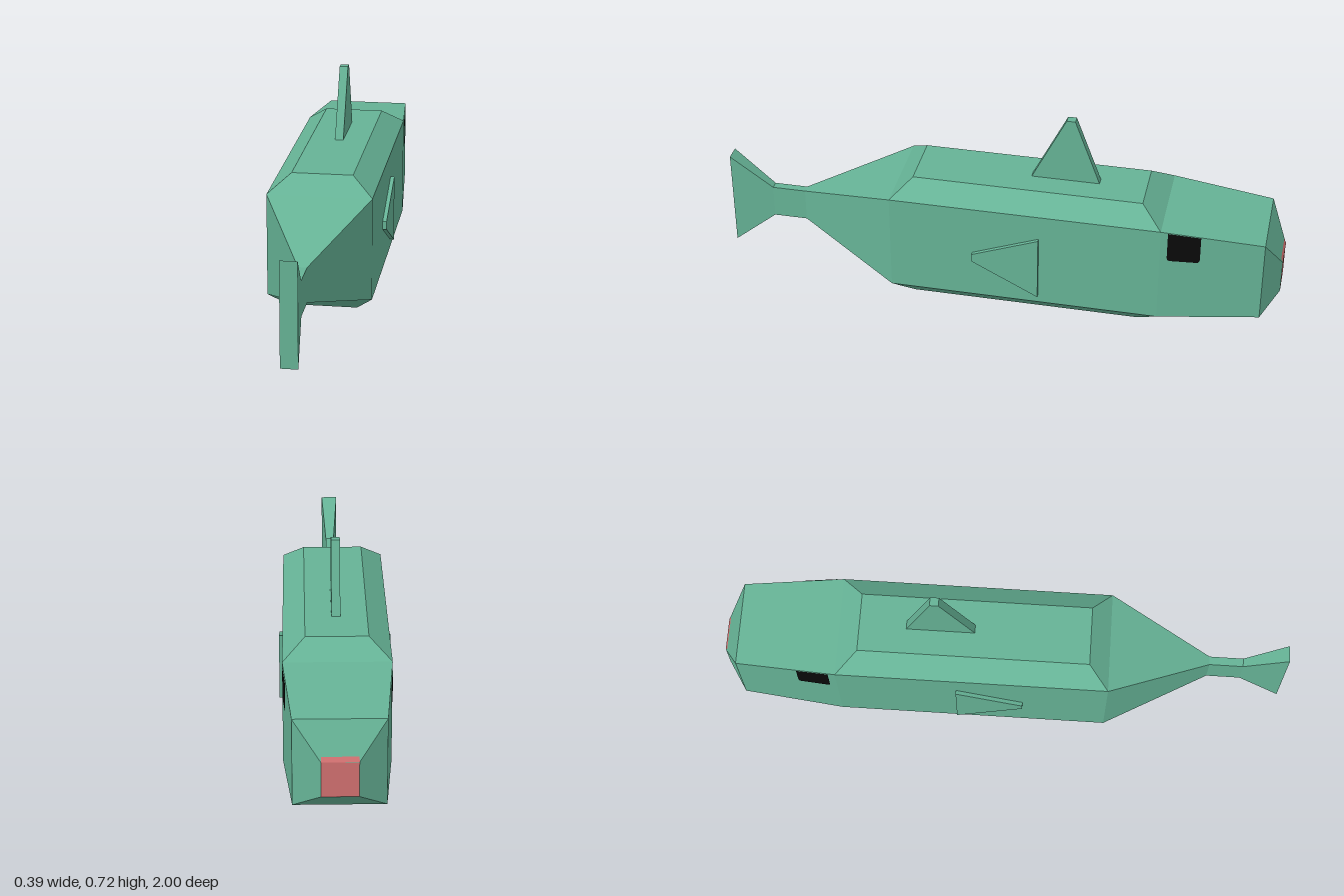
import * as THREE from 'three';

const skin = new THREE.MeshStandardMaterial({ color: 0x66b396, flatShading: true });
skin.name = 'sea green';
const black = new THREE.MeshStandardMaterial({ color: 0x0a0a0a, side: THREE.DoubleSide });
black.name = 'eye black';
const red = new THREE.MeshStandardMaterial({ color: 0xd47272, side: THREE.DoubleSide });
red.name = 'mouth red';

// Flat-faced loft through four-cornered rings, counterclockwise seen from the last ring
function loft(rings, capStart = true, capEnd = true) {
  const pos = [];
  const quad = (a, b, c, d) => pos.push(...a, ...b, ...c, ...a, ...c, ...d);
  for (let r = 0; r < rings.length - 1; r++) {
    const a = rings[r], b = rings[r + 1];
    for (let i = 0; i < 4; i++) quad(a[i], a[(i + 1) % 4], b[(i + 1) % 4], b[i]);
  }
  if (capStart) quad(...[...rings[0]].reverse());
  if (capEnd) quad(...rings[rings.length - 1]);
  const g = new THREE.BufferGeometry();
  g.setAttribute('position', new THREE.Float32BufferAttribute(pos, 3));
  g.computeVertexNormals();
  return g;
}

// Upright rectangle across the body, and level rectangle
const ringZ = (z, w, y0, y1) => [[w, y0, z], [w, y1, z], [-w, y1, z], [-w, y0, z]];
const ringY = (y, w, z0, z1) => [[w, y, z1], [w, y, z0], [-w, y, z0], [-w, y, z1]];

export function createModel() {
  const model = new THREE.Group();
  model.name = 'fish';
  const add = (name, geometry, material) => {
    const mesh = new THREE.Mesh(geometry, material);
    mesh.name = name;
    model.add(mesh);
  };

  // Body from snout to tail root, then the flared tail
  add('body', loft([
    ringZ(-1, 0.06, 0.15, 0.27),
    ringZ(-0.94, 0.15, 0.09, 0.39),
    ringZ(-0.585, 0.18, 0.06, 0.42),
    ringZ(0.37, 0.18, 0.06, 0.42),
    ringZ(0.73, 0.015, 0.18, 0.3),
  ], false, false), skin);
  add('tail', loft([
    ringZ(0.73, 0.015, 0.18, 0.3),
    ringZ(0.85, 0.015, 0.18, 0.3),
    ringZ(1, 0.029, 0.063, 0.42),
  ], false, true), skin);

  // Bevelled back and belly
  add('back', loft([ringY(0.42, 0.18, -0.585, 0.37), ringY(0.478, 0.105, -0.51, 0.3)], false, true), skin);
  add('belly', loft([ringY(0, 0.12, -0.51, 0.3), ringY(0.06, 0.18, -0.585, 0.37)], true, false), skin);

  // Fins
  add('dorsalFin', loft([ringY(0.478, 0.015, -0.345, -0.105), ringY(0.718, 0.015, -0.255, -0.225)]), skin);
  const sideFin = x => [[x, 0.09, -0.163], [x, 0.33, -0.163], [x, 0.24, 0.073], [x, 0.21, 0.073]];
  add('leftFin', loft([sideFin(0.178), sideFin(0.194)]), skin);
  add('rightFin', loft([sideFin(-0.194), sideFin(-0.178)]), skin);

  // Eyes lie on the tapering sides of the head, with rounded lower corners
  const eye = new THREE.Shape();
  eye.moveTo(-0.61, 0.416);
  eye.lineTo(-0.61, 0.318);
  eye.quadraticCurveTo(-0.61, 0.304, -0.624, 0.304);
  eye.lineTo(-0.709, 0.304);
  eye.quadraticCurveTo(-0.723, 0.304, -0.723, 0.318);
  eye.lineTo(-0.723, 0.407);
  for (const side of [1, -1]) {
    const g = new THREE.ShapeGeometry(eye);
    const p = g.attributes.position;
    for (let i = 0; i < p.count; i++) {
      const z = p.getX(i), y = p.getY(i);
      const halfWidth = 0.18 - 0.03 * (-0.585 - z) / 0.355;
      p.setXYZ(i, side * (halfWidth + 0.002), y, z);
    }
    if (side < 0) g.setIndex([...g.index.array].reverse());
    g.computeVertexNormals();
    add(side > 0 ? 'leftEye' : 'rightEye', g, black);
  }

  // Mouth covers the tip of the snout and turns slightly over its top edge
  const tip = new THREE.PlaneGeometry(0.12, 0.12);
  tip.rotateY(Math.PI);
  tip.translate(0, 0.21, -1);
  add('mouth', tip, red);
  const lip = new THREE.PlaneGeometry(0.12, 0.017);
  lip.translate(0, 0.0085, 0);
  lip.rotateY(Math.PI);
  lip.rotateX(Math.atan2(0.06, 0.12));
  lip.translate(0, 0.271, -1.001);
  add('upperLip', lip, red);

  return model;
}
